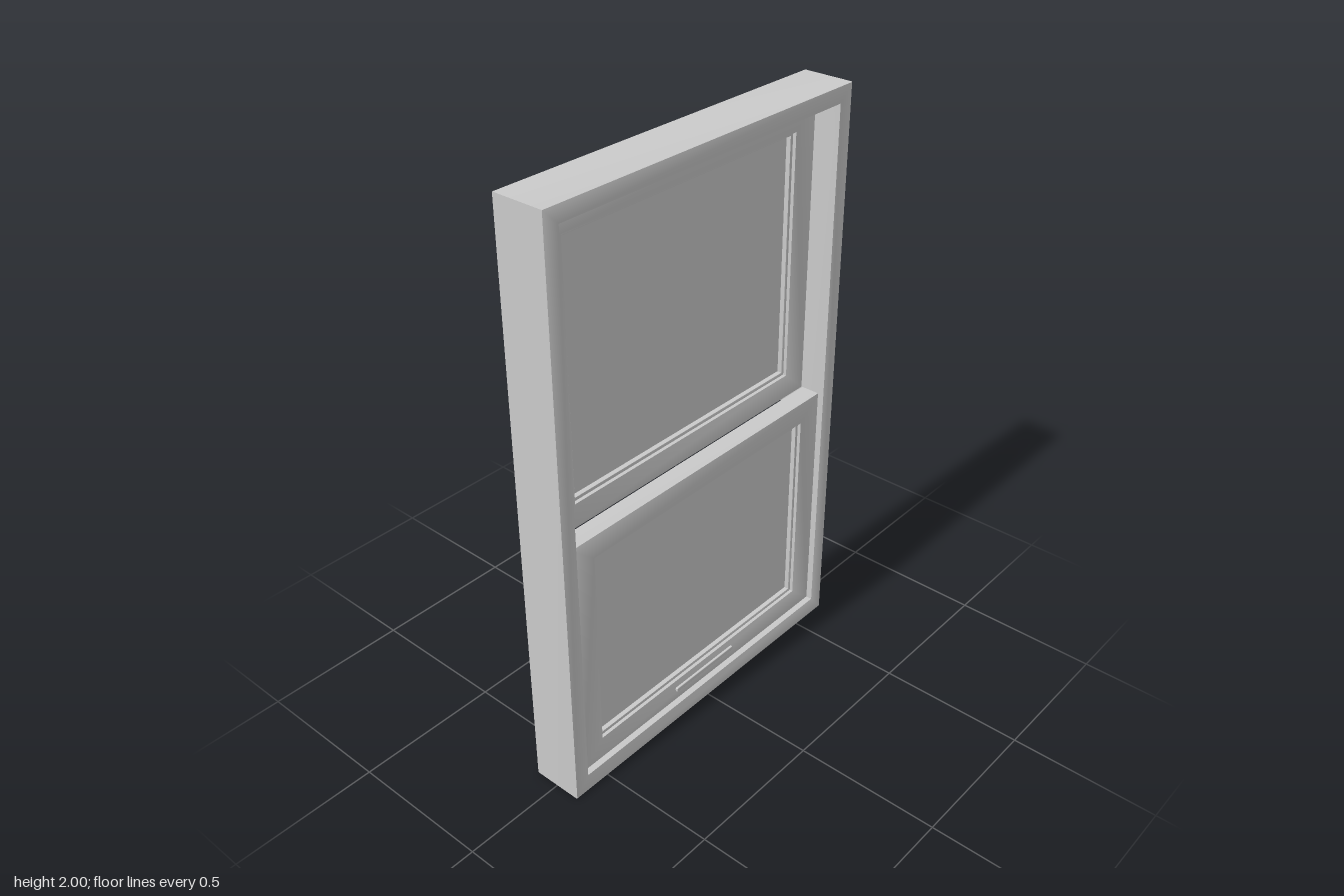
import * as THREE from 'three';
import { RoundedBoxGeometry } from 'three/addons/geometries/RoundedBoxGeometry.js';
import { toCreasedNormals } from 'three/addons/utils/BufferGeometryUtils.js';

const material = new THREE.MeshStandardMaterial({ color: 0xcccccc });

function addMesh(parent, name, geometry) {
  const mesh = new THREE.Mesh(geometry, material);
  mesh.name = name;
  parent.add(mesh);
  return mesh;
}

function rectangle(PathType, halfWidth, bottom, top) {
  const path = new PathType();
  path.moveTo(-halfWidth, bottom);
  path.lineTo(halfWidth, bottom);
  path.lineTo(halfWidth, top);
  path.lineTo(-halfWidth, top);
  path.closePath();
  return path;
}

// Rectangular ring between z0 and z1 with softened edges; o and i are [halfWidth, bottom, top]
function ring(o, i, z0, z1, bevel) {
  const shape = rectangle(THREE.Shape, o[0] - bevel, o[1] + bevel, o[2] - bevel);
  shape.holes.push(rectangle(THREE.Path, i[0] + bevel, i[1] - bevel, i[2] + bevel));
  const geometry = new THREE.ExtrudeGeometry(shape, {
    depth: z1 - z0 - 2 * bevel,
    bevelEnabled: true,
    bevelSize: bevel,
    bevelThickness: bevel,
    bevelSegments: 2,
  });
  geometry.translate(0, 0, z0 + bevel);
  return toCreasedNormals(geometry, 0.6);
}

// One sliding sash: rails and stiles, glazing bead and pane
function createSash(name, bottom, top, openBottom, openTop, z) {
  const sash = new THREE.Group();
  sash.name = name;
  addMesh(sash, 'sashFrame',
    ring([0.587, bottom, top], [0.494, openBottom, openTop], -0.034, 0.034, 0.003));
  addMesh(sash, 'glazingBead',
    ring([0.5, openBottom - 0.006, openTop + 0.006],
      [0.483, openBottom + 0.011, openTop - 0.011], -0.022, 0.022, 0.002));
  const pane = addMesh(sash, 'glassPane',
    new THREE.BoxGeometry(0.98, openTop - openBottom - 0.01, 0.012));
  pane.position.y = (openBottom + openTop) / 2;
  sash.position.z = z;
  return sash;
}

export function createModel() {
  const model = new THREE.Group();
  model.name = 'sashWindow';

  // Outer casing
  addMesh(model, 'outerFrame',
    ring([0.64, 0, 2], [0.585, 0.065, 1.945], -0.09, 0.09, 0.004));

  // Upper sash slides behind the lower one
  model.add(createSash('upperSash', 0.936, 1.947, 1.02, 1.86, -0.036));
  const lower = createSash('lowerSash', 0.063, 0.938, 0.145, 0.86, 0.034);
  model.add(lower);

  // Finger lift on the lower rail
  const lift = addMesh(lower, 'fingerLift',
    new RoundedBoxGeometry(0.29, 0.016, 0.016, 2, 0.003));
  lift.position.set(0, 0.108, 0.034);

  return model;
}
